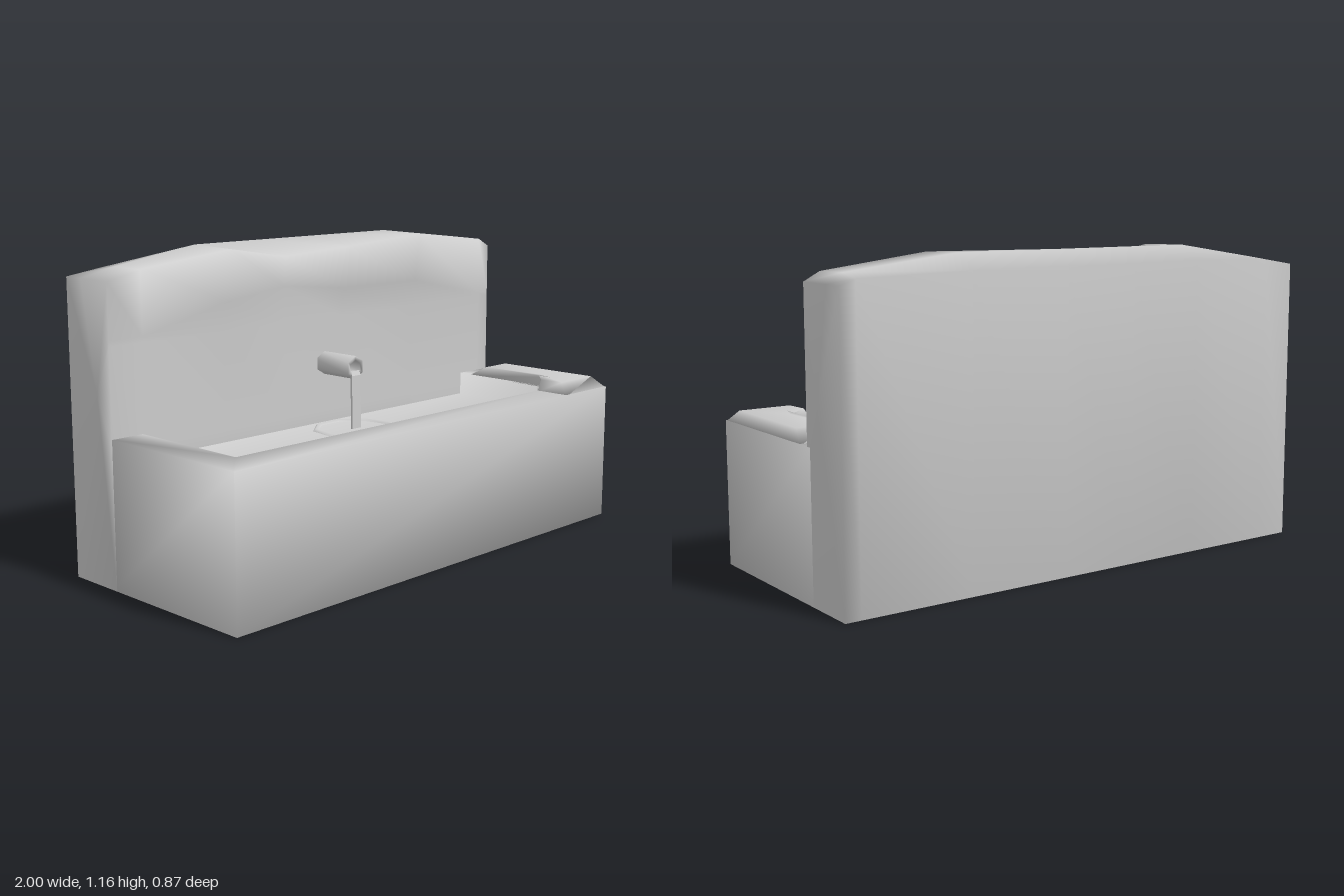
import * as THREE from 'three';

const material = new THREE.MeshStandardMaterial({ color: 0xcccccc });
const thinMaterial = new THREE.MeshStandardMaterial({ color: 0xcccccc, side: THREE.DoubleSide });

// Smooth skin through loops of equal length, closed by a fan at both ends
function loft(loops) {
  const n = loops[0].length, m = loops.length;
  const points = loops.flat(), index = [];
  for (let i = 0; i < m - 1; i++) {
    for (let j = 0; j < n; j++) {
      const a = i * n + j, b = i * n + (j + 1) % n;
      index.push(a, b, b + n, a, b + n, a + n);
    }
  }
  const centre = (loop) => [0, 1, 2].map((k) => loop.reduce((s, p) => s + p[k], 0) / n);
  points.push(centre(loops[0]), centre(loops[m - 1]));
  for (let j = 0; j < n; j++) {
    const k = (j + 1) % n, last = (m - 1) * n;
    index.push(m * n, k, j, m * n + 1, last + j, last + k);
  }
  const geometry = new THREE.BufferGeometry();
  geometry.setAttribute('position', new THREE.Float32BufferAttribute(points.flat(), 3));
  geometry.setIndex(index);
  geometry.computeVertexNormals();
  return geometry;
}

export function createModel() {
  const group = new THREE.Group();
  const add = (name, geometry, mat = material) => {
    const mesh = new THREE.Mesh(geometry, mat);
    mesh.name = name;
    group.add(mesh);
    return mesh;
  };

  // Trough: outer walls, flat rim, inner walls and water surface
  const back = -0.22;
  const rectangle = (x0, x1, z1, y) => [[x0, y, z1], [x1, y, z1], [x1, y, back], [x0, y, back]];
  add('trough', loft([
    rectangle(-1, 1, 0.435, 0),
    rectangle(-1, 1, 0.435, 0.54),
    rectangle(-0.87, 0.83, 0.29, 0.54),
    rectangle(-0.87, 0.83, 0.29, 0.45),
  ]));

  // Raised stone on the rim at one end
  const stoneFoot = [[0.73, 0.435], [1, 0.435], [1, -0.15], [0.83, -0.15], [0.83, 0.29], [0.73, 0.29]];
  const stoneTop = [[0.77, 0.38], [0.97, 0.38], [0.97, -0.065], [0.84, -0.065], [0.83, 0.28], [0.76, 0.285]];
  add('raisedRim', loft([
    stoneFoot.map(([x, z]) => [x, 0.535, z]),
    stoneTop.map(([x, z]) => [x, 0.58, z]),
  ]));

  // Back wall: x, back edge y, ridge y, lip y, lip z, underside y, underside z
  const sections = [
    [-1, 1.08, 1.08, 1.08, -0.2, 0.88, -0.2],
    [-0.86, 1.1, 1.11, 1.11, -0.2, 0.88, -0.2],
    [-0.5, 1.11, 1.165, 1.16, -0.148, 0.97, -0.172],
    [-0.2, 1.11, 1.165, 1.112, -0.187, 1.0, -0.2],
    [0.1, 1.11, 1.165, 1.133, -0.155, 0.97, -0.185],
    [0.5, 1.11, 1.165, 1.16, -0.148, 0.97, -0.172],
    [0.94, 1.1, 1.115, 1.112, -0.2, 0.88, -0.2],
    [1, 1.08, 1.08, 1.08, -0.2, 0.88, -0.2],
  ];
  add('backWall', loft(sections.map(([x, backY, ridgeY, lipY, lipZ, underY, underZ]) => [
    [x, 0, -0.2], [x, 0, -0.435], [x, backY, -0.435], [x, ridgeY, -0.35],
    [x, lipY, lipZ], [x, underY, underZ], [x, 0.86, -0.2], [x, 0.5, -0.2],
  ])));

  // Hexagonal spout with a bore
  const hexagon = (r, z) => Array.from({ length: 6 }, (_, i) => {
    const a = Math.PI / 6 + i * Math.PI / 3;
    return [0.01 + r * Math.cos(a), 0.685 + r * Math.sin(a), z];
  });
  add('spout', loft([
    hexagon(0.045, -0.23), hexagon(0.045, -0.032), hexagon(0.028, -0.032), hexagon(0.028, -0.13),
  ]));

  // Falling water: a thin ribbon that bends over the spout edge
  const stream = new THREE.Shape();
  stream.moveTo(-0.06, 0.668);
  stream.lineTo(-0.034, 0.672);
  stream.lineTo(-0.027, 0.655);
  stream.lineTo(-0.025, 0.45);
  stream.lineTo(-0.032, 0.45);
  stream.lineTo(-0.036, 0.655);
  stream.lineTo(-0.06, 0.66);
  const ribbon = new THREE.ExtrudeGeometry(stream, { depth: 0.046, bevelEnabled: false });
  ribbon.rotateY(-Math.PI / 2).translate(0.033, 0, 0);
  add('waterStream', ribbon, thinMaterial);

  // Ripple on the water where the stream lands
  const ripple = new THREE.LatheGeometry([
    new THREE.Vector2(0.168, 0.45), new THREE.Vector2(0.158, 0.458), new THREE.Vector2(0.146, 0.45),
  ], 9);
  ripple.translate(0, 0, -0.02);
  add('ripple', ripple, thinMaterial);

  // The ribbon's profile runs along z
  const p = ribbon.attributes.position;
  p.needsUpdate = true;
  return group;
}
